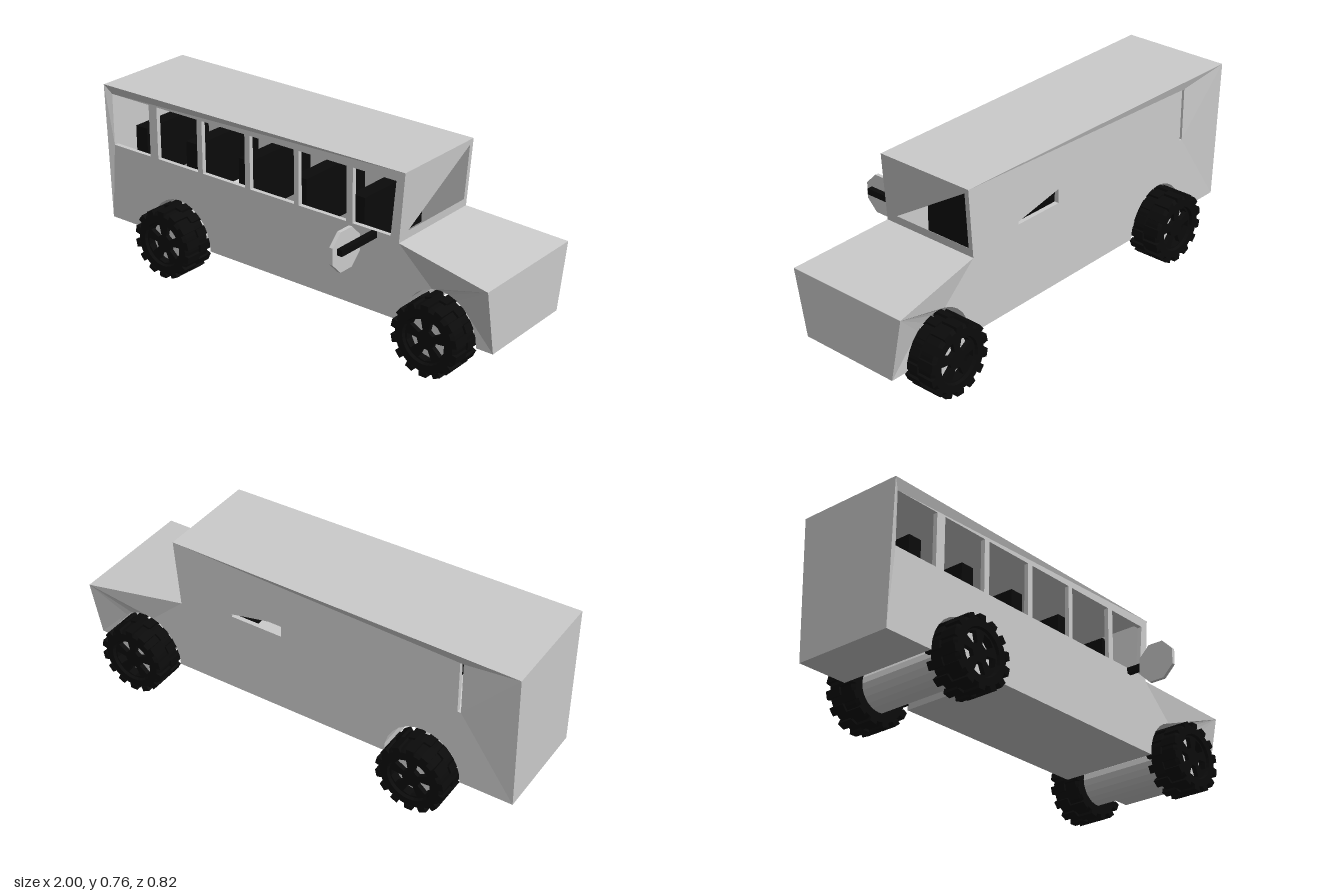
import * as THREE from 'three';

const grey = new THREE.MeshStandardMaterial({ color: 0xcccccc, flatShading: true, side: THREE.DoubleSide });
const black = new THREE.MeshStandardMaterial({ color: 0x0b0b0b, flatShading: true });
const MID = -0.067, HALF = 0.229, WALL = 0.02; // body centre plane, half width, wall thickness
const AXLES = [-0.605, 0.755], AXLE_Y = 0.157;

const v2 = (x, y) => new THREE.Vector2(x, y);

function add(parent, name, geometry, material, x = 0, y = 0, z = 0) {
  const mesh = new THREE.Mesh(geometry, material);
  mesh.name = name;
  mesh.position.set(x, y, z);
  parent.add(mesh);
  return mesh;
}

// The bonnet nose and the upper rear corners flare outwards
function flare(x, y) {
  if (x > 0.99 && y > 0.4) return 0.055;
  if (x < -0.99 && y > 0.7) return 0.018;
  return 0;
}

// Wheel arch, from rear to front
function arch(cx, rx) {
  const pts = [];
  for (let i = 0; i <= 14; i++) {
    const a = Math.PI * (1 - i / 14);
    pts.push(v2(cx + rx * Math.cos(a), 0.14 + 0.19 * Math.sin(a)));
  }
  return pts;
}

// Side outline; the windscreen is the edge between the 2nd and 3rd points from the end
const outline = [
  v2(-1, 0.14), ...arch(-0.595, 0.172), v2(-0.4, 0.14), v2(0.53, 0.14),
  ...arch(0.752, 0.172), v2(1, 0.14), v2(1, 0.422), v2(0.555, 0.47), v2(0.578, 0.767), v2(-1, 0.767),
];

const windows = [[-0.97, -0.755], [-0.71, -0.483], [-0.455, -0.222], [-0.195, 0.036], [0.06, 0.3], [0.33, 0.515, 0.537]]
  .map(([a, b, top = b]) => [v2(a, 0.49), v2(b, 0.49), v2(top, 0.725), v2(a, 0.725)]);
const gaps = [
  [v2(0.06, 0.507), v2(0.3, 0.508), v2(0.3, 0.52), v2(0.06, 0.57)],
  [v2(-0.755, 0.49), v2(-0.74, 0.49), v2(-0.74, 0.725), v2(-0.755, 0.725)],
];

// One side wall with its openings
function sideWall(side, openings) {
  const shape = new THREE.Shape(outline);
  openings.forEach((o) => shape.holes.push(new THREE.Path(o)));
  const geo = new THREE.ExtrudeGeometry(shape, { depth: WALL, bevelEnabled: false });
  geo.translate(0, 0, side > 0 ? MID + HALF - WALL : MID - HALF);
  const p = geo.attributes.position;
  for (let i = 0; i < p.count; i++) p.setZ(i, p.getZ(i) + side * flare(p.getX(i), p.getY(i)));
  geo.computeVertexNormals();
  return geo;
}

// Panels spanning the body along the outline, leaving out the windscreen
function crossPanels() {
  const pos = [];
  outline.forEach((a, i) => {
    if (i === outline.length - 3) return;
    const b = outline[(i + 1) % outline.length];
    const wa = HALF + flare(a.x, a.y), wb = HALF + flare(b.x, b.y);
    const c = [[a.x, a.y, MID - wa], [b.x, b.y, MID - wb], [b.x, b.y, MID + wb], [a.x, a.y, MID + wa]];
    // outline runs anticlockwise, so this order faces outwards
    [0, 1, 2, 0, 2, 3].forEach((k) => pos.push(...c[k]));
  });
  const geo = new THREE.BufferGeometry();
  geo.setAttribute('position', new THREE.Float32BufferAttribute(pos, 3));
  geo.computeVertexNormals();
  return geo;
}

// Windscreen panel drawn in (z, y), then leaned forward
function windscreen() {
  const l = MID - HALF, r = MID + HALF;
  const shape = new THREE.Shape([v2(-r, 0.47), v2(-l, 0.47), v2(-l, 0.767), v2(-r, 0.767)]);
  shape.holes.push(new THREE.Path([v2(-0.107, 0.505), v2(0.275, 0.505), v2(0.275, 0.745)]));
  const geo = new THREE.ShapeGeometry(shape);
  const p = geo.attributes.position;
  for (let i = 0; i < p.count; i++) {
    const y = p.getY(i);
    p.setXYZ(i, 0.555 + (y - 0.47) * 0.0775, y, -p.getX(i));
  }
  geo.computeVertexNormals();
  return geo;
}

function makeWheel() {
  const wheel = new THREE.Group();
  wheel.name = 'wheel';
  // Tyre: hollow section turned about the axle
  const section = [[0.095, -0.067], [0.132, -0.067], [0.144, -0.055], [0.144, 0.058], [0.132, 0.072], [0.1, 0.072], [0.095, 0.06], [0.095, -0.067]];
  const tyre = new THREE.LatheGeometry(section.map(([r, y]) => v2(r, y)), 28);
  tyre.rotateX(Math.PI / 2);
  add(wheel, 'tyre', tyre, black);
  // Tread blocks in two staggered rows
  const rows = 14;
  for (let i = 0; i < rows * 2; i++) {
    const a = (i / (rows * 2)) * Math.PI * 2;
    const lug = add(wheel, 'treadBlock', new THREE.BoxGeometry(0.022, 0.034, 0.073), black,
      0.142 * Math.cos(a), 0.142 * Math.sin(a), i % 2 ? 0.037 : -0.038);
    lug.rotation.z = a;
  }
  // Rim with five wedge openings
  const rim = new THREE.Shape().absarc(0, 0, 0.1, 0, Math.PI * 2);
  for (let i = 0; i < 5; i++) {
    const a = -Math.PI / 2 + (i * Math.PI * 2) / 5;
    const at = (r, d) => v2(r * Math.cos(a + d), r * Math.sin(a + d));
    rim.holes.push(new THREE.Path([at(0.04, -0.3), at(0.086, -0.36), at(0.09, 0), at(0.086, 0.36), at(0.04, 0.3)]));
  }
  add(wheel, 'rim', new THREE.ExtrudeGeometry(rim, { depth: 0.02, bevelEnabled: false, curveSegments: 14 }), black, 0, 0, 0.04);
  return wheel;
}

export function createModel() {
  const bus = new THREE.Group();
  bus.name = 'bus';

  // Body shell
  add(bus, 'windowSide', sideWall(1, windows), grey);
  add(bus, 'closedSide', sideWall(-1, gaps), grey);
  add(bus, 'bodyPanels', crossPanels(), grey);
  add(bus, 'windscreen', windscreen(), grey);

  // Bench backs
  for (let i = 0; i < 5; i++) {
    add(bus, 'seatBack', new THREE.BoxGeometry(0.064, 0.24, 0.39), black, -0.836 + i * 0.292, 0.475, MID);
  }

  // Axles and wheels
  AXLES.forEach((x) => {
    const axle = new THREE.CylinderGeometry(0.088, 0.088, 0.58, 20);
    axle.rotateX(Math.PI / 2);
    add(bus, 'axle', axle, grey, x, AXLE_Y, MID);
    [1, -1].forEach((side) => {
      const wheel = makeWheel();
      wheel.position.set(x, AXLE_Y, MID - 0.003 + side * 0.266);
      if (side < 0) wheel.rotation.y = Math.PI;
      bus.add(wheel);
    });
  });

  // Swing-out octagonal sign and its arm
  const sign = new THREE.CylinderGeometry(0.092, 0.092, 0.016, 8);
  sign.rotateY(Math.PI / 8);
  sign.rotateZ(Math.PI / 2);
  add(bus, 'sign', sign, grey, 0.418, 0.465, 0.324);
  add(bus, 'signArm', new THREE.BoxGeometry(0.024, 0.027, 0.23), black, 0.438, 0.476, 0.267);

  return bus;
}
